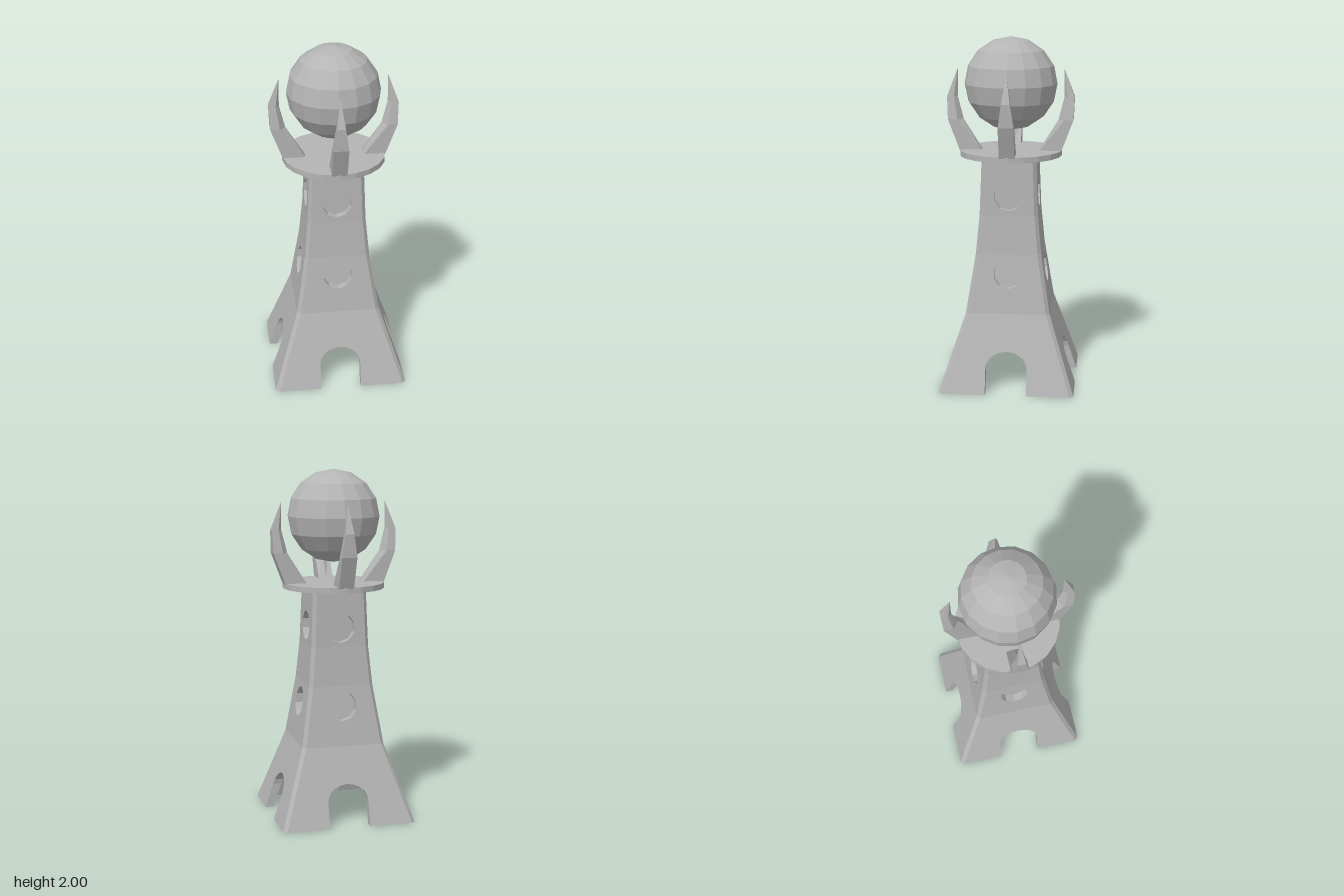
import * as THREE from 'three';

// Tower profile: height and half width at each crease
const ROWS = [[0, 0.386], [0.44, 0.24], [0.78, 0.187], [1.0, 0.167], [1.33, 0.155]];
const WALL = 0.05, CHAMFER = 0.02;

function halfWidth(y) {
  for (let i = 1; i < ROWS.length; i++) {
    const [y0, w0] = ROWS[i - 1], [y1, w1] = ROWS[i];
    if (y <= y1 || i === ROWS.length - 1) return w0 + (w1 - w0) * (y - y0) / (y1 - y0);
  }
}

function flat(geometry) {
  const g = geometry.index ? geometry.toNonIndexed() : geometry;
  g.computeVertexNormals();
  return g;
}

// Skin a stack of convex loops, with both ends capped
function loft(loops) {
  const pos = [], n = loops[0].length;
  const tri = (...pts) => pts.forEach((p) => pos.push(...p));
  for (let i = 0; i < loops.length - 1; i++) {
    for (let j = 0; j < n; j++) {
      const k = (j + 1) % n, lo = loops[i], hi = loops[i + 1];
      tri(lo[j], lo[k], hi[k]);
      tri(lo[j], hi[k], hi[j]);
    }
  }
  const bottom = loops[0], top = loops[loops.length - 1];
  for (let j = 1; j < n - 1; j++) {
    tri(bottom[0], bottom[j + 1], bottom[j]);
    tri(top[0], top[j], top[j + 1]);
  }
  const g = new THREE.BufferGeometry();
  g.setAttribute('position', new THREE.Float32BufferAttribute(pos, 3));
  return flat(g);
}

// Extrude a flat wall shape, then lean it along the profile and mitre its inner corners
function wallGeometry(shape, depth) {
  const g = new THREE.ExtrudeGeometry(shape, { depth, bevelEnabled: false });
  const p = g.attributes.position;
  for (let i = 0; i < p.count; i++) {
    const x = p.getX(i), y = p.getY(i), z = p.getZ(i);
    const inner = halfWidth(y) - WALL;
    const limit = z === 0 ? inner : Infinity;
    p.setXYZ(i, THREE.MathUtils.clamp(x, -limit, limit), y, inner + z);
  }
  return flat(g);
}

function decagon(y, r) {
  return Array.from({ length: 10 }, (_, i) => {
    const a = (i + 0.5) * Math.PI / 5;
    return new THREE.Vector2(r * Math.cos(a), y + r * Math.sin(a));
  });
}

export function createModel() {
  const model = new THREE.Group();
  const stone = new THREE.MeshStandardMaterial({ color: 0xb4b4b4 });
  stone.name = 'grey stone';

  const add = (parent, name, geometry) => {
    const mesh = new THREE.Mesh(geometry, stone);
    mesh.name = name;
    parent.add(mesh);
    return mesh;
  };

  // Wall bands: arched foot, then bands with round windows
  const windows = { 1: 0.665, 3: 1.11 };
  const wallParts = [];
  for (let i = 0; i < ROWS.length - 1; i++) {
    const [y0, w0] = ROWS[i], [y1, w1] = ROWS[i + 1];
    const a0 = w0 - CHAMFER, a1 = w1 - CHAMFER;
    const pts = [[-a0, y0]];
    if (i === 0) {
      pts.push([-0.118, 0]);
      for (let k = 0; k <= 10; k++) {
        const a = Math.PI * (1 - k / 10);
        pts.push([0.118 * Math.cos(a), 0.14 + 0.095 * Math.sin(a)]);
      }
      pts.push([0.118, 0]);
    }
    pts.push([a0, y0], [a1, y1], [-a1, y1]);
    const shape = new THREE.Shape(pts.map(([x, y]) => new THREE.Vector2(x, y)));
    if (windows[i]) {
      shape.holes.push(new THREE.Path(decagon(windows[i], 0.085)));
      wallParts.push(['windowFloor', wallGeometry(new THREE.Shape(decagon(windows[i], 0.085)), 0.008)]);
    }
    wallParts.push([i === 0 ? 'archedFoot' : 'wallBand', wallGeometry(shape, WALL)]);
  }

  // Chamfered corner post
  const post = loft(ROWS.map(([y, w]) => [
    [w - CHAMFER, y, w], [w, y, w - CHAMFER], [w - WALL, y, w - WALL],
  ]));

  // Claw sections: height, inner radius, middle radius, outer radius, half thickness
  const claw = loft([
    [1.35, 0.16, 0.165, 0.29, 0.043],
    [1.53, 0.272, 0.305, 0.358, 0.043],
    [1.66, 0.305, 0.325, 0.364, 0.024],
    [1.815, 0.304, 0.305, 0.306, 0.001],
  ].map(([y, rin, mid, out, h]) => [
    [-h, y, out], [h, y, out], [h, y, mid], [0, y, rin], [-h, y, mid],
  ]));

  // Four matching sides
  for (let s = 0; s < 4; s++) {
    const side = new THREE.Group();
    side.name = 'towerSide';
    side.rotation.y = s * Math.PI / 2;
    wallParts.forEach(([name, g]) => add(side, name, g));
    add(side, 'cornerPost', post);
    add(side, 'claw', claw);
    model.add(side);
  }

  // Round platform and the orb held above it
  const platform = add(model, 'platform', flat(new THREE.CylinderGeometry(0.293, 0.293, 0.032, 20)));
  platform.position.y = 1.34;
  const orb = add(model, 'orb', flat(new THREE.SphereGeometry(0.265, 16, 8)));
  orb.position.y = 1.735;

  return model;
}
